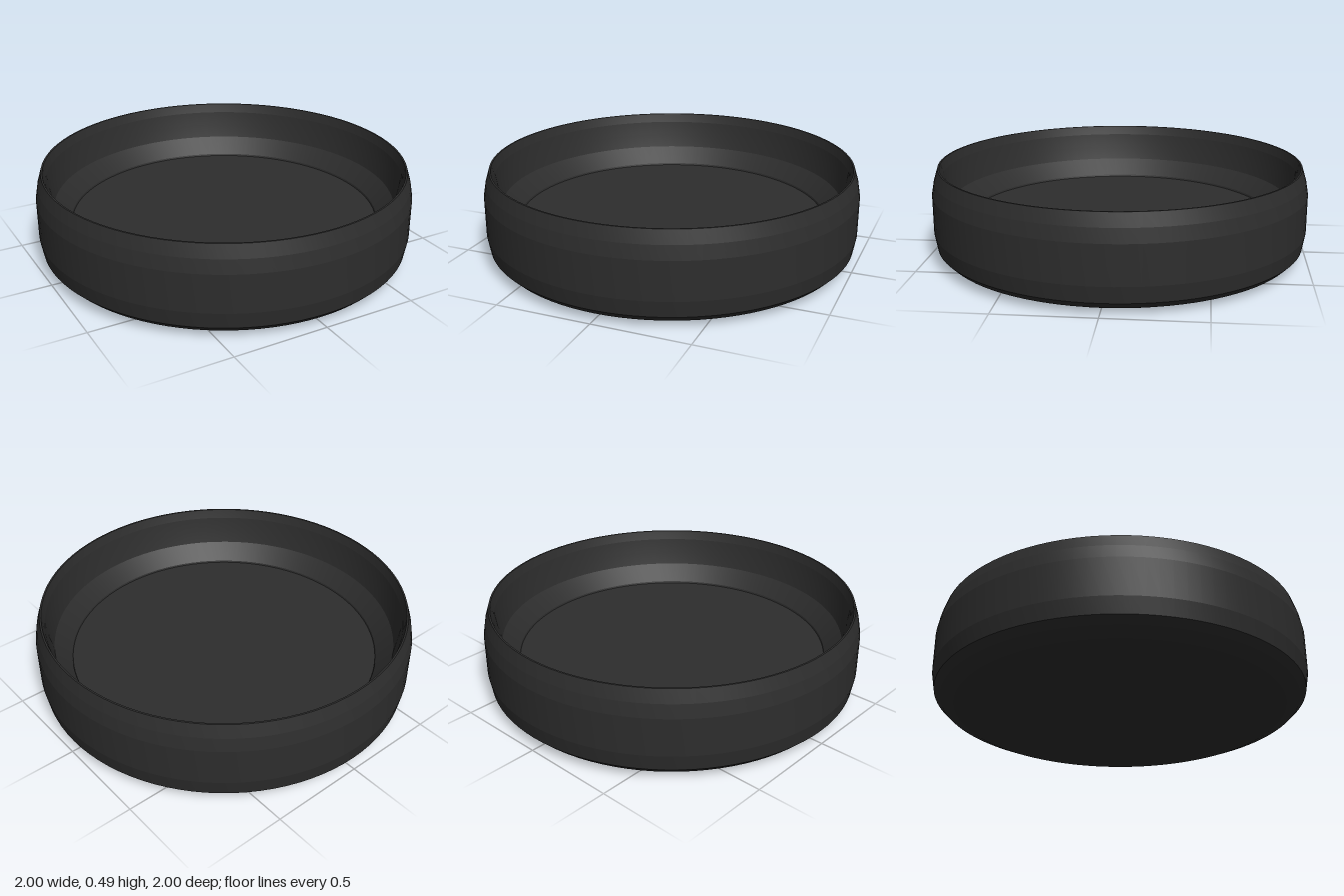
import * as THREE from 'three';
import { toCreasedNormals } from 'three/addons/utils/BufferGeometryUtils.js';

const SEGMENTS = 96;

// Revolve a profile of [radius, height] pairs, keeping the bands between rings crisp
function revolve(name, profile, material) {
  const points = profile.map(([r, y]) => new THREE.Vector2(r, y));
  const geometry = toCreasedNormals(new THREE.LatheGeometry(points, SEGMENTS), 0.12);
  const mesh = new THREE.Mesh(geometry, material);
  mesh.name = name;
  return mesh;
}

export function createModel() {
  const charcoal = new THREE.MeshStandardMaterial({ color: 0x2d2d2d });
  charcoal.name = 'charcoal';

  const dish = new THREE.Group();
  dish.name = 'dish';

  // Underside, rounded foot and bulging outer wall
  dish.add(revolve('outerWall', [
    [0, 0], [0.88, 0], [0.95, 0.03], [0.985, 0.065], [1, 0.15],
    [1, 0.35], [0.987, 0.42], [0.966, 0.487],
  ], charcoal));

  // Narrow rim with a bevelled inner lip
  dish.add(revolve('rim', [
    [0.966, 0.487], [0.957, 0.487], [0.954, 0.475], [0.943, 0.437],
  ], charcoal));

  // Inner wall sloping down to a small step around the floor
  dish.add(revolve('innerWall', [
    [0.943, 0.437], [0.93, 0.36], [0.91, 0.285], [0.825, 0.2], [0.822, 0.19],
  ], charcoal));

  // Flat floor
  const floor = new THREE.Mesh(new THREE.CircleGeometry(0.822, SEGMENTS), charcoal);
  floor.name = 'floor';
  floor.rotation.x = -Math.PI / 2;
  floor.position.y = 0.19;
  dish.add(floor);

  return dish;
}
